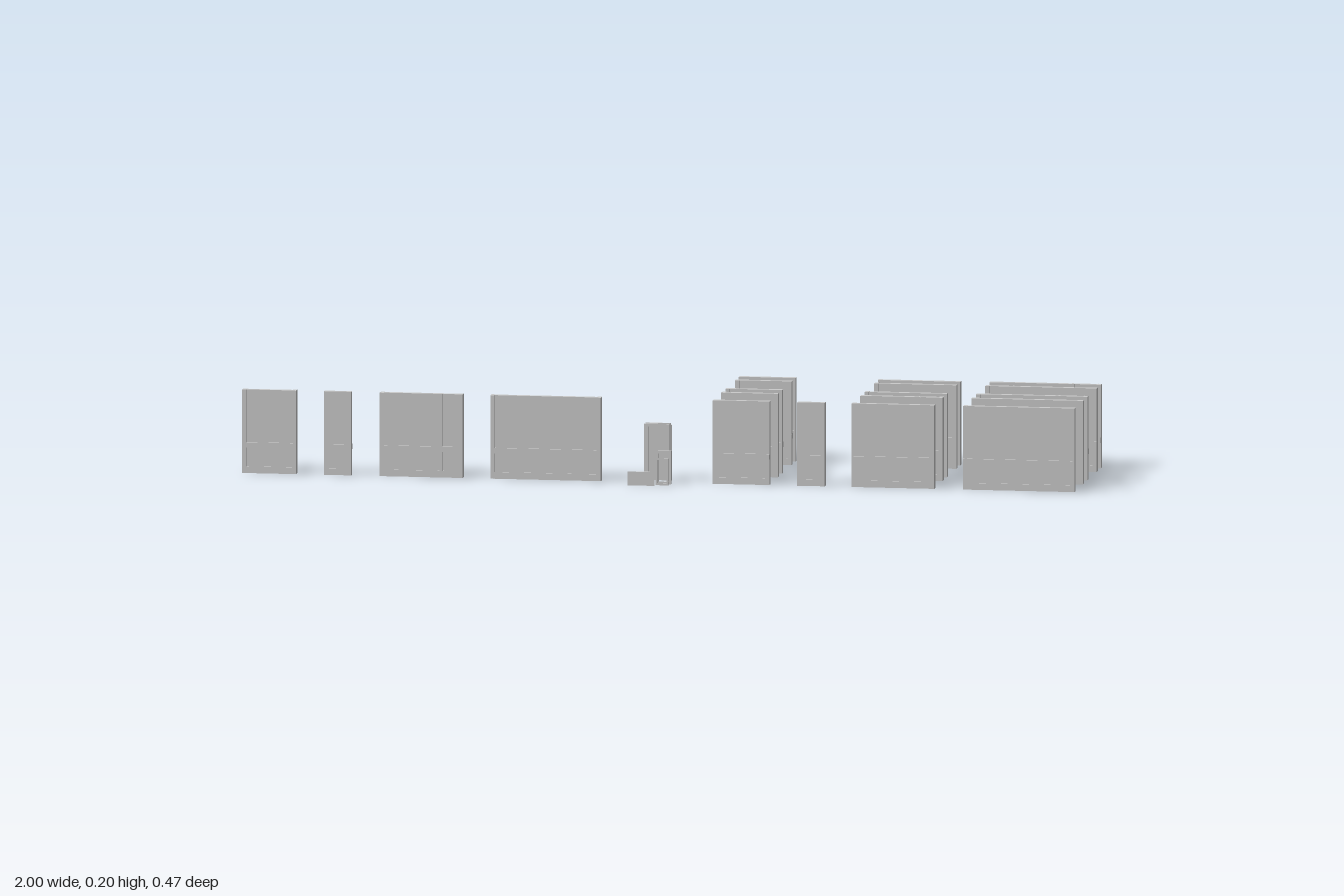
import * as THREE from 'three';

const material = new THREE.MeshStandardMaterial({ color: 0xcccccc, flatShading: true });

const HEIGHT = 0.2, CORE = 0.012, TRIM = 0.018;
const DOOR = { w: 0.062, y0: 0, y1: 0.142 };
const WINDOW = { w: 0.038, y0: 0.079, y1: 0.145 };

function box(parent, name, x0, x1, y0, y1, depth, z = 0) {
  const mesh = new THREE.Mesh(new THREE.BoxGeometry(x1 - x0, y1 - y0, depth), material);
  mesh.name = name;
  mesh.position.set((x0 + x1) / 2, (y0 + y1) / 2, z);
  parent.add(mesh);
  return mesh;
}

// Upright slab centred on z, with an optional rectangular opening
function slab(width, height, depth, hole) {
  const a = width / 2, s = new THREE.Shape();
  if (hole && hole.y0 === 0) {
    const h = hole.w / 2;
    [[-a, 0], [-h, 0], [-h, hole.y1], [h, hole.y1], [h, 0], [a, 0], [a, height], [-a, height]]
      .forEach(([x, y], i) => (i ? s.lineTo(x, y) : s.moveTo(x, y)));
  } else {
    s.moveTo(-a, 0).lineTo(a, 0).lineTo(a, height).lineTo(-a, height);
    if (hole) {
      const h = hole.w / 2;
      s.holes.push(new THREE.Path().moveTo(-h, hole.y0).lineTo(-h, hole.y1).lineTo(h, hole.y1).lineTo(h, hole.y0));
    }
  }
  s.closePath();
  return new THREE.ExtrudeGeometry(s, { depth, bevelEnabled: false }).translate(0, 0, -depth / 2);
}

// Wall module: core, skirting, dado rail, end posts and battens
function wall(name, x0, x1, z, { hole, posts = true, battens = [] } = {}) {
  const g = new THREE.Group();
  const cx = (x0 + x1) / 2, a = (x1 - x0) / 2;
  g.name = name;
  g.position.set(cx, 0, z);
  const core = new THREE.Mesh(slab(a * 2, HEIGHT, CORE, hole), material);
  core.name = 'wallPanel';
  g.add(core);

  // Trim strips stop at a doorway
  const spans = hole === DOOR ? [[-a, -DOOR.w / 2], [DOOR.w / 2, a]] : [[-a, a]];
  for (const [l, r] of spans) {
    box(g, 'skirting', l, r, 0, 0.016, TRIM - 0.001);
    box(g, 'dadoRail', l, r, 0.061, 0.074, TRIM + 0.002);
  }
  if (posts) {
    for (const s of [-1, 1]) {
      const x = s * (a - 0.005);
      box(g, 'endPost', x - 0.005, x + 0.005, 0, HEIGHT, TRIM);
    }
  }
  for (const x of battens) box(g, 'batten', x - cx - 0.004, x - cx + 0.004, 0, HEIGHT, TRIM - 0.002);
  return g;
}

// Loose frame or leaf standing on the ground
function piece(name, x0, x1, height, z, hole) {
  const mesh = new THREE.Mesh(slab(x1 - x0, height, 0.005, hole), material);
  mesh.name = name;
  mesh.position.set((x0 + x1) / 2, 0, z);
  return mesh;
}

export function createModel() {
  const model = new THREE.Group();
  model.name = 'wallKit';

  // Plain walls along the front
  model.add(
    wall('outerWallTwo', -1, -0.87, 0.17),
    wall('outerWallOne', -0.803, -0.738, 0.17, { posts: false }),
    wall('outerWallThree', -0.669, -0.47, 0.17, { battens: [-0.62, -0.522] }),
    wall('outerWallFour', -0.403, -0.138, 0.17, { battens: [-0.335, -0.205] }),
    wall('plainWallTwo', 0.131, 0.267, 0.17),
    wall('plainWallOne', 0.334, 0.4, 0.17),
    wall('plainWallThree', 0.465, 0.663, 0.17),
    wall('plainWallFour', 0.732, 1, 0.17, { battens: [0.87] }),
  );

  // Doorway and window rows behind, in three widths each
  const rows = [
    ['doorWallInner', 0.042, DOOR, 0], ['doorWallOuter', -0.021, DOOR, 0.006],
    ['windowWallInner', -0.164, WINDOW, 0], ['windowWallOuter', -0.221, WINDOW, 0.006],
  ];
  for (const [name, z, hole, shift] of rows) {
    model.add(
      wall(name + 'Two', 0.131, 0.267, z, { hole }),
      wall(name + 'Three', 0.465, 0.663, z, { hole, battens: hole === DOOR ? [0.521, 0.607] : [] }),
      wall(name + 'Four', 0.732, 1, z - shift, { hole, battens: [0.8, 0.932] }),
    );
  }

  // Door leaf with handles, and door frames
  const leaf = piece('doorLeaf', -0.033, 0.026, 0.133, 0.138);
  box(leaf, 'doorHandle', 0.018, 0.024, 0.067, 0.072, 0.009);
  model.add(leaf);
  const frameHole = { w: 0.048, y0: 0, y1: 0.134 };
  model.add(piece('doorFrameBack', -0.034, 0.027, 0.14, 0.157, frameHole));
  model.add(piece('doorFrameFront', -0.034, 0.027, 0.14, 0.175, frameHole));

  // Window frame, pane and sill board
  model.add(piece('windowFrame', 0, 0.035, 0.08, 0.202, { w: 0.025, y0: 0.006, y1: 0.074 }));
  model.add(piece('windowSash', 0, 0.031, 0.065, 0.22, { w: 0.022, y0: 0.005, y1: 0.06 }));
  model.add(piece('ventPanel', -0.065, 0, 0.033, 0.233));
  return model;
}
